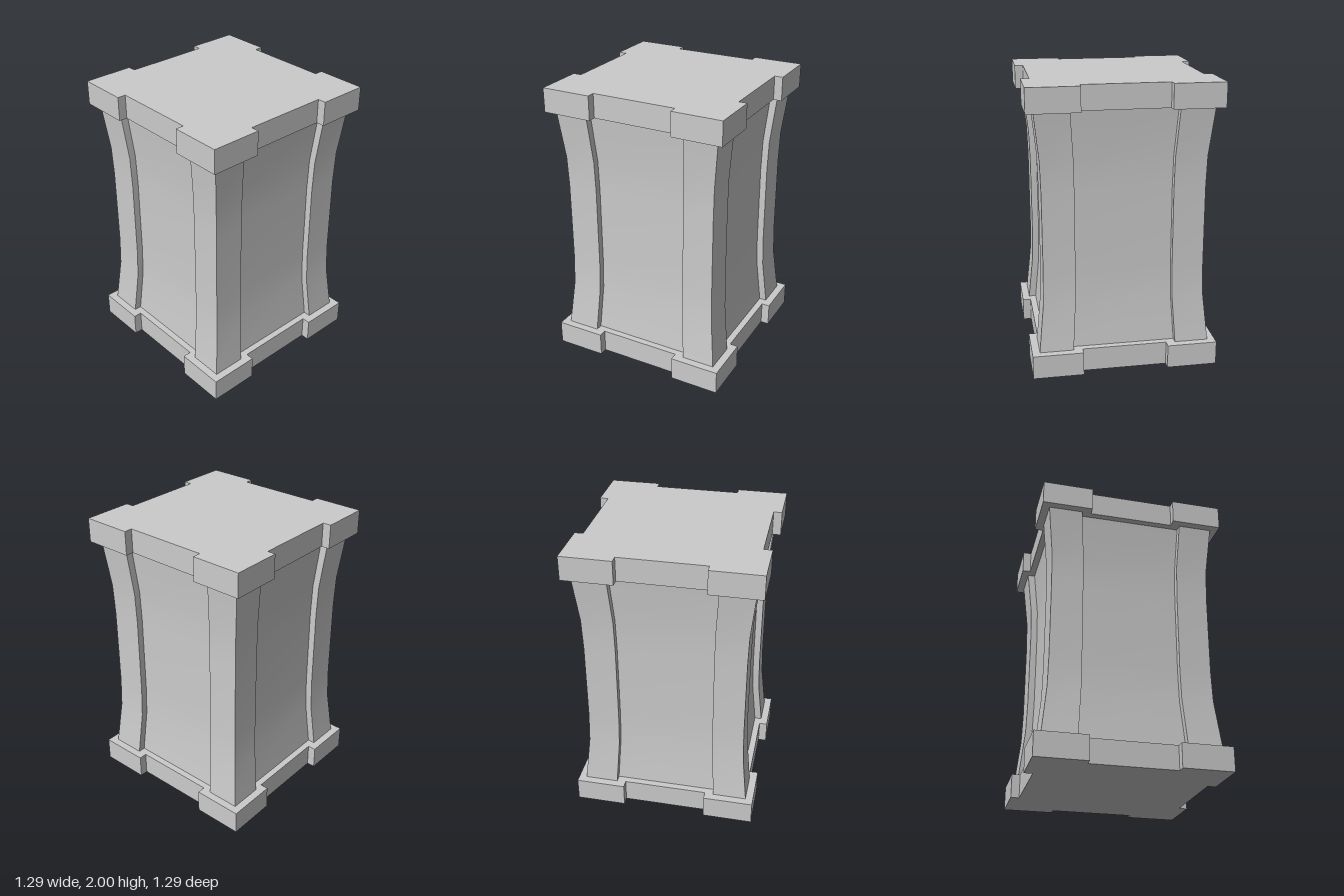
import * as THREE from 'three';
import { toCreasedNormals } from 'three/addons/utils/BufferGeometryUtils.js';

const material = new THREE.MeshStandardMaterial({ color: 0xcccccc });

// Square outline with a shallow notch in the middle of each side, counter-clockwise
function notchedSquare(half, notch, recessed) {
  const points = [];
  for (let side = 0; side < 4; side++) {
    const corners = [[half, -half], [half, -notch], [recessed, -notch], [recessed, notch], [half, notch]];
    for (let [x, y] of corners) {
      for (let k = 0; k < side; k++) [x, y] = [-y, x];
      points.push(new THREE.Vector2(x, y));
    }
  }
  return points;
}

// Skin an outline through levels of [height, scale]
function loft(outline, levels) {
  const positions = [];
  const index = [];
  const n = outline.length;
  levels.forEach(([y, s], row) => {
    for (const p of outline) positions.push(p.x * s, y, -p.y * s);
    if (row === 0) return;
    for (let i = 0; i < n; i++) {
      const j = (i + 1) % n;
      const low = (row - 1) * n, high = row * n;
      index.push(low + i, low + j, high + j, low + i, high + j, high + i);
    }
  });
  const geometry = new THREE.BufferGeometry();
  geometry.setAttribute('position', new THREE.Float32BufferAttribute(positions, 3));
  geometry.setIndex(index);
  return toCreasedNormals(geometry, Math.PI / 6);
}

export function createModel() {
  const group = new THREE.Group();
  const add = (name, geometry, y = 0) => {
    const mesh = new THREE.Mesh(geometry, material);
    mesh.name = name;
    mesh.position.y = y;
    group.add(mesh);
  };

  // Base and top slabs with projecting corner blocks
  const slabHeight = 0.167;
  const slab = new THREE.ExtrudeGeometry(
    new THREE.Shape(notchedSquare(0.645, 0.295, 0.587)),
    { depth: slabHeight, bevelEnabled: false }
  );
  slab.rotateX(-Math.PI / 2);
  add('baseSlab', slab);
  add('topSlab', slab, 2 - slabHeight);

  // Waisted shaft: corner posts with recessed panels between them
  const levels = [
    [slabHeight, 1], [0.5, 0.942], [0.72, 0.932],
    [1.28, 0.932], [1.5, 0.942], [2 - slabHeight, 1],
  ];
  add('shaft', loft(notchedSquare(0.592, 0.358, 0.541), levels));

  return group;
}
